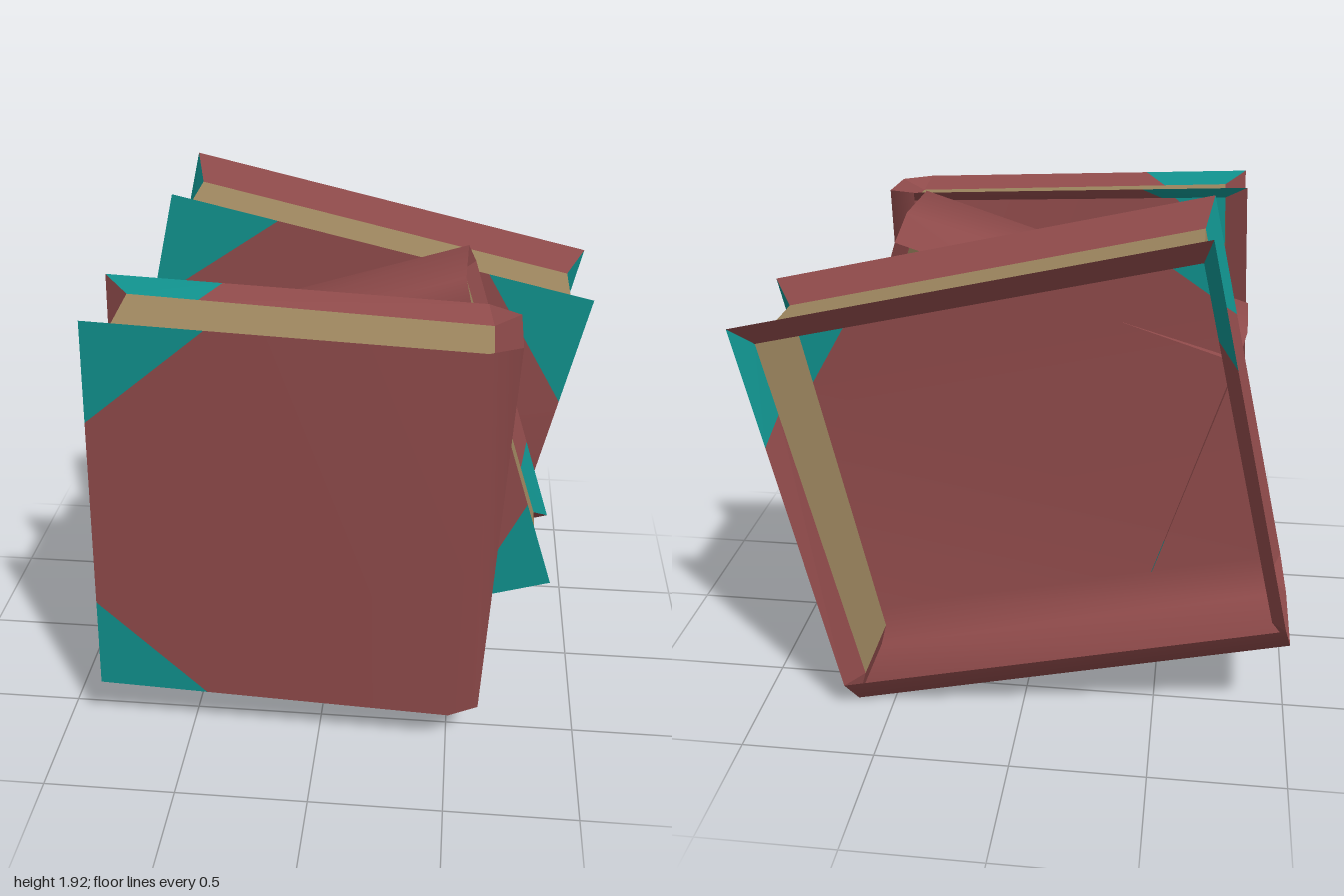
import * as THREE from 'three';

const mat = (name, color) => new THREE.MeshStandardMaterial({ name, color, side: THREE.DoubleSide });
const leather = mat('burgundy leather', 0x8e4a4a);
const teal = mat('teal corners', 0x10908c);
const paper = mat('aged paper', 0x9c855e);

// Flat quads, corners counter-clockwise
function quadMesh(name, quads, material) {
  const pts = quads.flatMap(([a, b, c, d]) => [a, b, c, a, c, d]);
  const g = new THREE.BufferGeometry();
  g.setAttribute('position', new THREE.Float32BufferAttribute(pts.flat(), 3));
  g.computeVertexNormals();
  const m = new THREE.Mesh(g, material);
  m.name = name;
  return m;
}

// Local axes: x along the spine, y from spine to fore edge, z through the thickness
function book(name, L, W, T, inset) {
  const group = new THREE.Group();
  group.name = name;
  const h = L / 2, t = T / 2;
  const c = 0.077 * W, u = t - 0.168 * T;            // spine bevel
  const k = 0.285 * W, m = 0.25 * L;                 // corner patch size
  const hp = h - 0.03 * L, Wp = W - 0.058 * W, p = t - inset; // page block
  const fe = 0.061 * W, pe = t - inset - 0.062 * T;  // page end at the spine
  const fi = W - 0.232 * W, pi = pe + (p - pe) * (fi - fe) / (Wp - fe);
  const P = (x, y, z) => [x, y - W / 2, z];

  // Cover and bevelled spine, sharing smooth normals; the back is open
  const shell = new THREE.BufferGeometry();
  shell.setAttribute('position', new THREE.Float32BufferAttribute([
    P(-h, c, t), P(h, c, t), P(h, W - k, t), P(h - m, W, t), P(-h + m, W, t),
    P(-h, W - k, t), P(-h, W, t), P(h, W, t),
    P(-h, 0, u), P(h, 0, u), P(-h, 0, -u), P(h, 0, -u), P(-h, c, -t), P(h, c, -t),
  ].flat(), 3));
  shell.setIndex([
    0, 1, 2, 0, 2, 5, 5, 2, 3, 5, 3, 4,
    8, 9, 1, 8, 1, 0, 10, 11, 9, 10, 9, 8, 12, 13, 11, 12, 11, 10,
    2, 7, 3, 5, 4, 6,
  ]);
  shell.addGroup(0, 30, 0);
  shell.addGroup(30, 6, 1);
  shell.computeVertexNormals();
  const cover = new THREE.Mesh(shell, [leather, teal]);
  cover.name = 'coverAndSpine';
  group.add(cover);

  // Sloping rims at both ends: outer (y, z) paired with inner (y, z)
  const half = [[W, t, Wp, p], [W - k, t, fi, pi], [c, t, fe, pe], [0, u, fe, pe]];
  const ring = [...half, ...half.map(([a, b, d, e]) => [a, -b, d, -e]).reverse()];
  const rims = [], patches = [], pages = [];
  for (const s of [1, -1]) {
    const turn = q => (s > 0 ? q : q.reverse());
    for (let i = 0; i < 7; i++) {
      const a = ring[i], b = ring[i + 1];
      (i === 0 || i === 6 ? patches : rims).push(turn([
        P(s * h, a[0], a[1]), P(s * h, b[0], b[1]), P(s * hp, b[2], b[3]), P(s * hp, a[2], a[3]),
      ]));
    }
    pages.push(turn([P(s * hp, Wp, p), P(s * hp, fe, pe), P(s * hp, fe, -pe), P(s * hp, Wp, -p)]));
  }

  // Fore edge rims and pages
  rims.push([P(-h, W, t), P(h, W, t), P(hp, Wp, p), P(-hp, Wp, p)]);
  rims.push([P(h, W, -t), P(-h, W, -t), P(-hp, Wp, -p), P(hp, Wp, -p)]);
  pages.push([P(-hp, Wp, p), P(hp, Wp, p), P(hp, Wp, -p), P(-hp, Wp, -p)]);

  group.add(
    quadMesh('coverRims', rims, leather),
    quadMesh('cornerRims', patches, teal),
    quadMesh('pages', pages, paper),
  );
  return group;
}

export function createModel() {
  const model = new THREE.Group();
  model.name = 'bookStack';

  const back = book('backBook', 1.68, 1.59, 0.565, 0.076);
  back.position.set(0, 0.965, -0.472);
  back.rotation.set(0, 0, -0.225);

  const middle = book('middleBook', 1.354, 1.268, 0.505, 0.08);
  middle.position.set(0.045, 0.99, 0.07);
  middle.rotation.set(0, -0.02, Math.PI + 0.306);

  const front = book('frontBook', 1.56, 1.46, 0.375, 0.049);
  front.position.set(-0.075, 0.995, 0.525);
  front.rotation.set(0.051, 0, Math.PI / 2 - 0.046);

  model.add(back, middle, front);
  return model;
}
